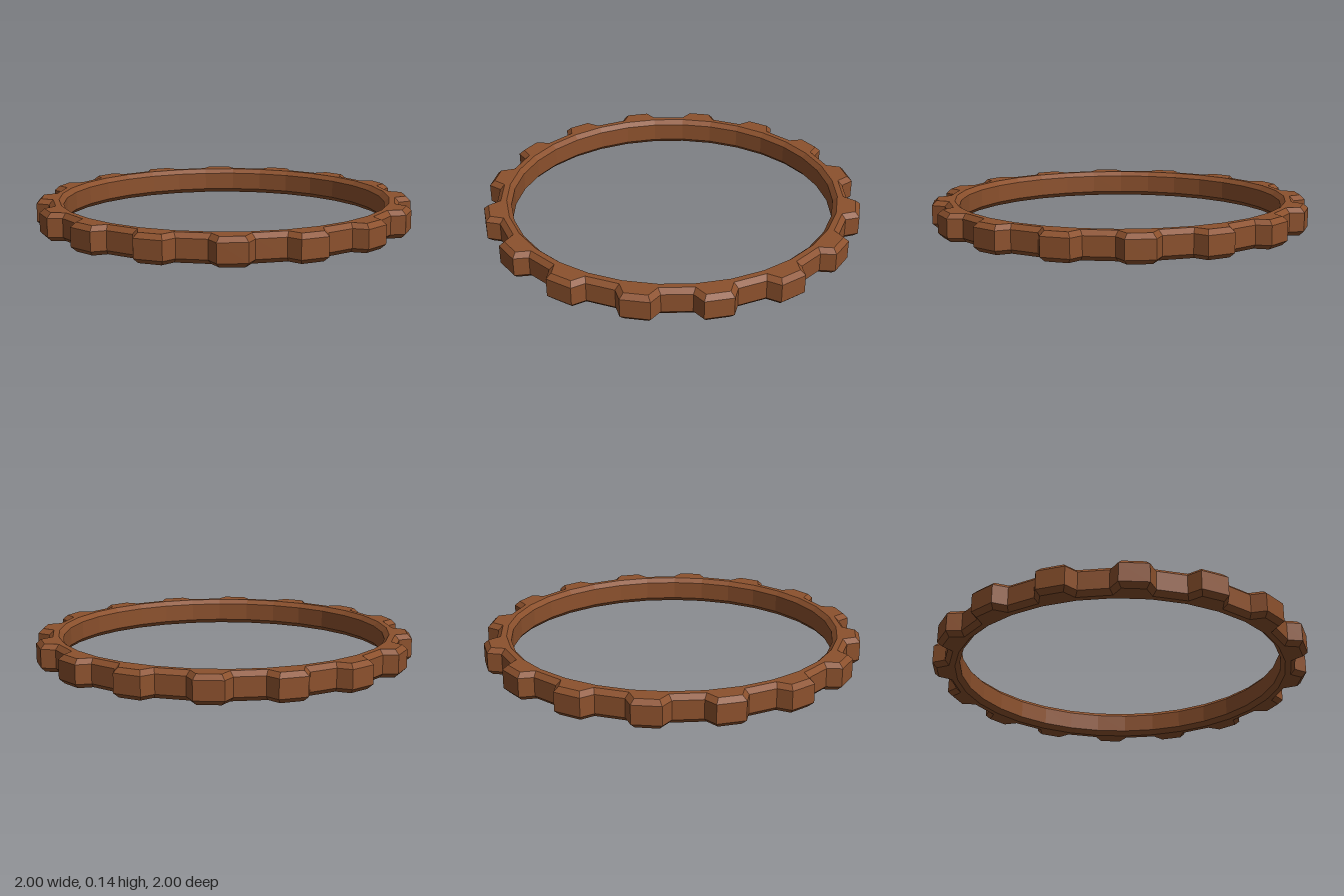
import * as THREE from 'three';

const TEETH = 16;
const HEIGHT = 0.145;
const BEVEL = 0.024;

// Point at radial distance r and sideways offset t, turned by angle a
const turned = (r, t, a) => new THREE.Vector2(
  r * Math.cos(a) - t * Math.sin(a),
  r * Math.sin(a) + t * Math.cos(a)
);

export function createModel() {
  const group = new THREE.Group();
  group.name = 'toothedRing';
  const brown = new THREE.MeshStandardMaterial({ color: 0x8c512d });
  brown.name = 'warm brown';
  brown.flatShading = true;

  // Outer outline: one trapezoid tooth per step, straight valleys between
  const outline = [];
  for (let i = 0; i < TEETH; i++) {
    const a = (i / TEETH) * Math.PI * 2;
    for (const [r, t] of [[0.93, -0.108], [1, -0.073], [1, 0.073], [0.93, 0.108]]) {
      outline.push(turned(r, t, a));
    }
  }
  const shape = new THREE.Shape(outline);

  // Inner opening with flats facing the teeth and the valleys
  const sides = TEETH * 2;
  const hole = [];
  for (let i = 0; i < sides; i++) {
    hole.push(turned(0.859, 0, (-(i + 0.5) / sides) * Math.PI * 2));
  }
  shape.holes.push(new THREE.Path(hole));

  // Chamfered slab, laid flat on the ground
  const geometry = new THREE.ExtrudeGeometry(shape, {
    depth: HEIGHT - 2 * BEVEL,
    bevelEnabled: true,
    bevelSegments: 1,
    bevelThickness: BEVEL,
    bevelSize: BEVEL,
    bevelOffset: -BEVEL
  });
  geometry.rotateX(-Math.PI / 2);
  geometry.translate(0, BEVEL, 0);
  geometry.computeVertexNormals();

  const ring = new THREE.Mesh(geometry, brown);
  ring.name = 'gearRing';
  group.add(ring);
  return group;
}
